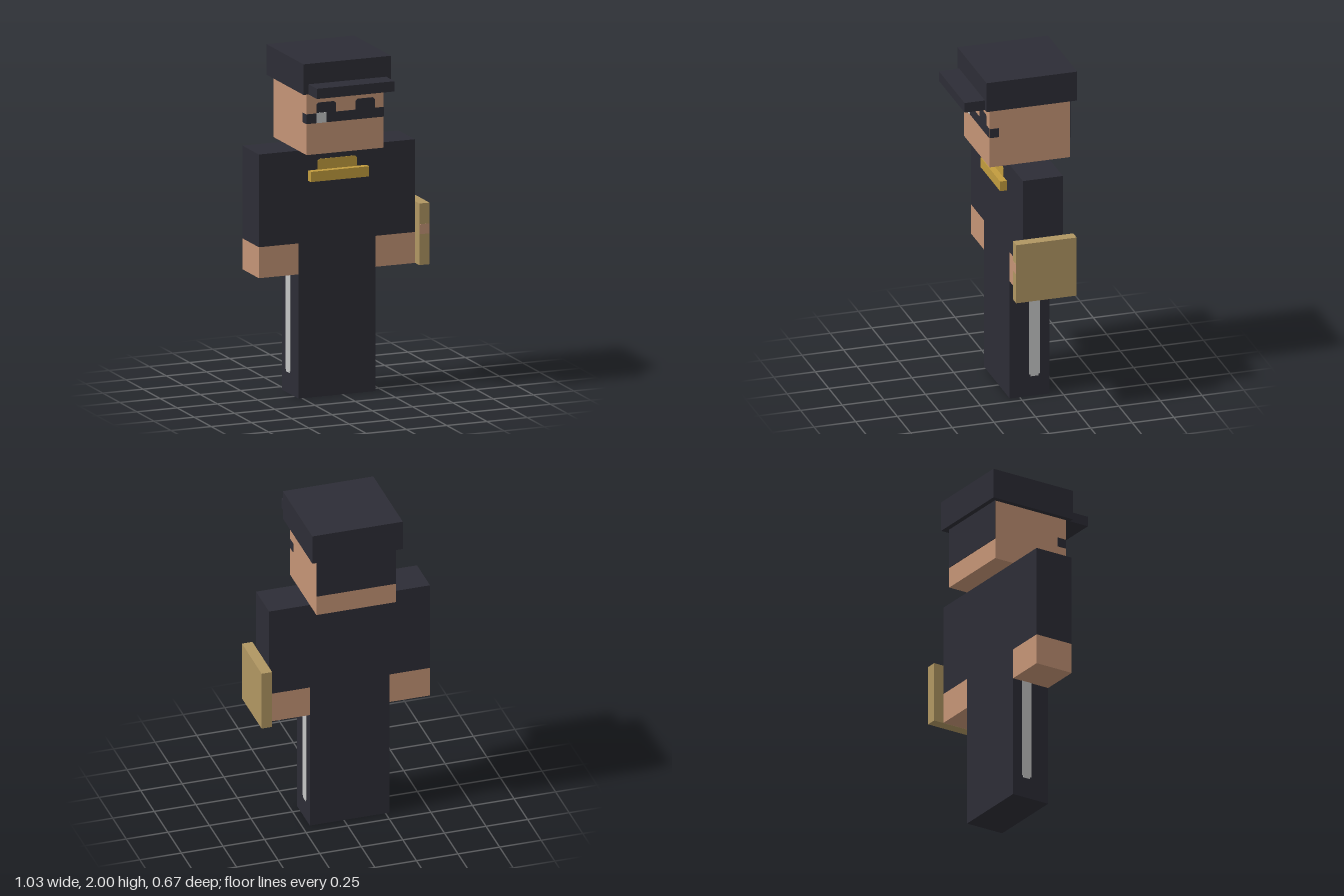
import * as THREE from 'three';

const mat = (name, color) => {
  const m = new THREE.MeshStandardMaterial({ color });
  m.name = name;
  return m;
};

export function createModel() {
  const model = new THREE.Group();
  model.name = 'officer';
  const navy = mat('navyCloth', 0x2d2d36);
  const skin = mat('skin', 0xc49476);
  const gold = mat('gold', 0xc29c3e);
  const tan = mat('tan', 0xb09662);
  const pale = mat('paleGrey', 0xc4c5c5);

  // Box given by its minimum and maximum on each axis
  const box = (name, m, [x0, x1], [y0, y1], [z0, z1], parent = model) => {
    const mesh = new THREE.Mesh(new THREE.BoxGeometry(x1 - x0, y1 - y0, z1 - z0), m);
    mesh.position.set((x0 + x1) / 2, (y0 + y1) / 2, (z0 + z1) / 2);
    mesh.name = name;
    parent.add(mesh);
    return mesh;
  };

  // Thin front plate with its two upper corners clipped
  const clippedPlate = (name, m, [x0, x1], [y0, y1], z, parent = model) => {
    const c = 0.012;
    const shape = new THREE.Shape([
      [x0, y0], [x1, y0], [x1, y1 - c], [x1 - c, y1], [x0 + c, y1], [x0, y1 - c],
    ].map(([x, y]) => new THREE.Vector2(x, y)));
    const mesh = new THREE.Mesh(new THREE.ExtrudeGeometry(shape, { depth: 0.003, bevelEnabled: false }), m);
    mesh.position.z = z;
    mesh.name = name;
    parent.add(mesh);
  };

  const L = 0.205, R = -0.273; // body sides
  const depth = [-0.18, 0.06];

  // Body
  box('torso', navy, [R, L], [0.73, 1.457], depth);
  const mid = (L + R) / 2;
  for (const side of [1, -1]) {
    const label = side > 0 ? 'left' : 'right';
    const span = (a, b) => [mid + side * a, mid + side * b].sort((p, q) => p - q);
    box(label + 'Leg', navy, span(0, 0.239), [0, 0.73], depth);
    box(label + 'Sleeve', navy, span(0.239, 0.484), [0.912, 1.457], depth);
    box(label + 'Hand', skin, span(0.239, 0.484), [0.73, 0.912], depth);
    // Stripe down the outer trouser leg, with a narrower tip
    box(label + 'TrouserStripe', pale, span(0.239, 0.242), [0.135, 0.73], [-0.12, -0.056]);
    box(label + 'StripeTip', pale, span(0.239, 0.242), [0.123, 0.135], [-0.111, -0.065]);
    // Glasses wrapping round the side of the head
    box(label + 'GlassesArm', navy, span(0.239, 0.242), [1.64, 1.695], [0.125, 0.18]);
  }

  // Chest badge
  box('badgeBar', gold, [-0.213, 0.15], [1.275, 1.335], [0.06, 0.1]);
  clippedPlate('badgeTop', gold, [-0.155, 0.09], [1.335, 1.397], 0.06);

  // Case beside the left hand
  box('case', tan, [0.452, 0.515], [0.73, 1.092], [-0.242, 0.121]);
  box('caseMark', skin, [0.453, 0.514], [0.912, 0.97], [0.121, 0.123]);

  // Head, hair and cap
  box('head', skin, [R, L], [1.457, 1.82], [-0.302, 0.181]);
  box('hair', navy, [R, L], [1.58, 1.82], [-0.305, -0.302]);
  box('cap', navy, [-0.304, 0.24], [1.82, 2], [-0.334, 0.21]);
  box('visor', navy, [R, 0.209], [1.82, 1.88], [0.21, 0.332]);

  // Glasses with a pale glint
  box('glassesBand', navy, [R, L], [1.64, 1.697], [0.181, 0.184]);
  clippedPlate('rightLens', navy, [-0.213, -0.092], [1.697, 1.76], 0.181);
  clippedPlate('leftLens', navy, [0.03, 0.15], [1.697, 1.76], 0.181);
  box('lensGlint', pale, [-0.213, -0.152], [1.64, 1.7], [0.184, 0.186]);

  return model;
}
